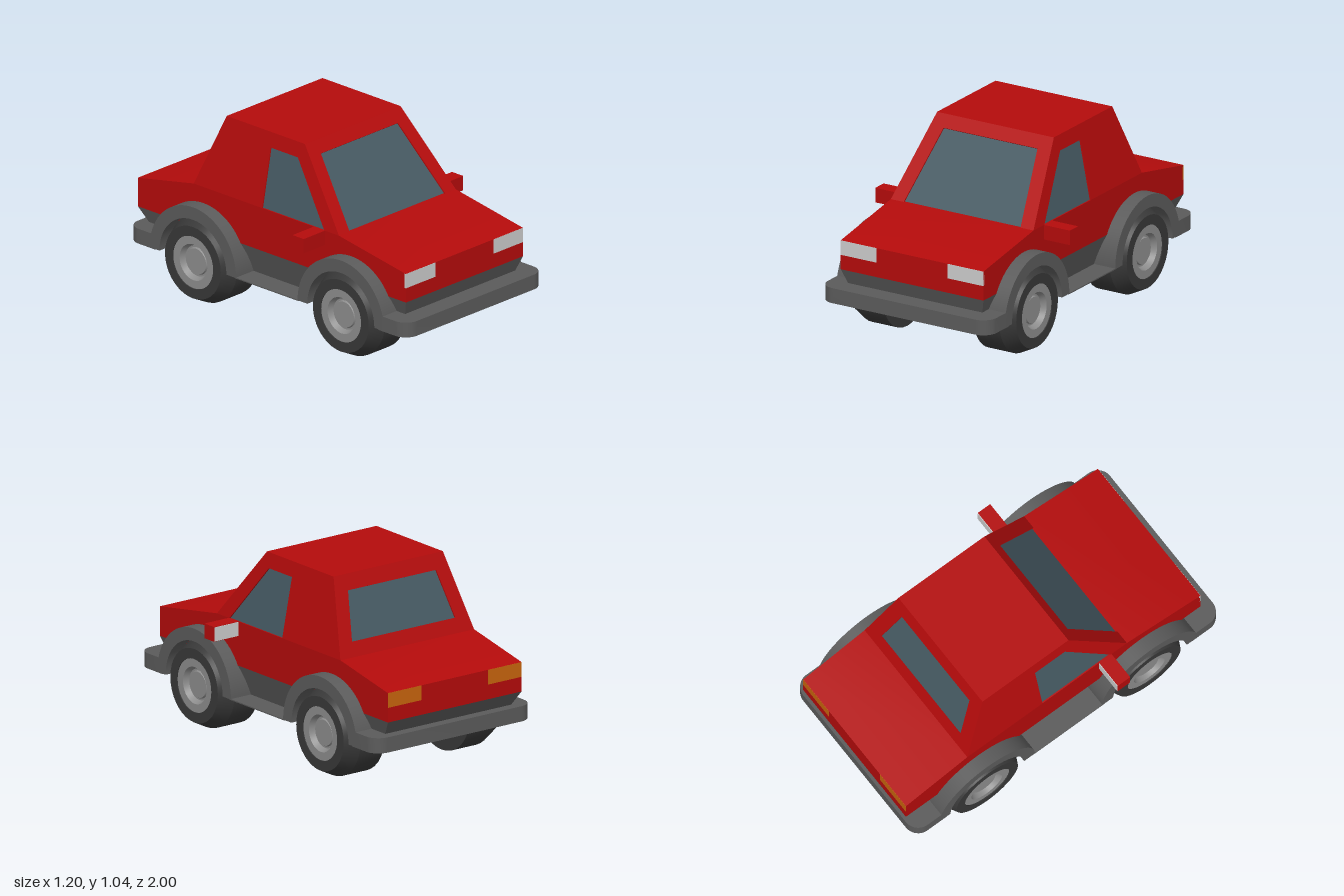
import * as THREE from 'three';
import { toCreasedNormals } from 'three/addons/utils/BufferGeometryUtils.js';

const mat = (color) => new THREE.MeshStandardMaterial({ color });

export function createModel() {
  const car = new THREE.Group();
  car.name = 'car';
  const red = mat(0xb40b0b), grey = mat(0x5b5b5b), dark = mat(0x383838), rim = mat(0x8c8c8c);
  const glass = mat(0x465a63), lamp = mat(0xcccccc), amber = mat(0xc8640d);

  const add = (name, geometry, material, parent = car) => {
    const mesh = new THREE.Mesh(geometry, material);
    mesh.name = name;
    parent.add(mesh);
    return mesh;
  };
  const box = (name, w, h, d, x, y, z, material) =>
    add(name, new THREE.BoxGeometry(w, h, d), material).position.set(x, y, z);

  // Flat geometry from four-cornered faces, counter-clockwise from outside
  const quads = (faces) => {
    const points = faces.flatMap(([a, b, c, d]) => [a, b, c, a, c, d]);
    const g = new THREE.BufferGeometry().setFromPoints(points);
    g.computeVertexNormals();
    return g;
  };
  const V = (x, y, z) => new THREE.Vector3(x, y, z);

  // Side profile in (-z, y), extruded across x from x0 to x1
  const extrudeX = (shape, x0, x1) => {
    const g = new THREE.ExtrudeGeometry(shape, { depth: x1 - x0, bevelEnabled: false, curveSegments: 28 });
    g.translate(0, 0, x0).rotateY(Math.PI / 2);
    return toCreasedNormals(g, 0.5);
  };

  // Lower body with bonnet and boot
  const profile = [[0.92, 0.4], [0.92, 0.56], [0.44, 0.64], [-0.6, 0.64], [-1, 0.56], [-1, 0.4]];
  const bodyShape = new THREE.Shape(profile.map(([z, y]) => new THREE.Vector2(-z, y)));
  add('body', extrudeX(bodyShape, -0.44, 0.44), red);

  // Tapered skirt under the body
  const ring = (x, y, front, back) => [V(x, y, front), V(x, y, back), V(-x, y, back), V(-x, y, front)];
  const top = ring(0.44, 0.4, 0.92, -1), low = ring(0.388, 0.24, 0.86, -0.89);
  add('skirt', quads(top.map((p, i) => [low[i], low[(i + 1) % 4], top[(i + 1) % 4], p])), grey);

  // Cabin panel with a slightly recessed window
  const panel = (name, outer, hole) => {
    const normal = outer[1].clone().sub(outer[0]).cross(outer[2].clone().sub(outer[0])).normalize();
    const inner = hole.map((p) => p.clone().addScaledVector(normal, -0.007));
    const faces = [];
    for (let i = 0; i < 4; i++) {
      const j = (i + 1) % 4;
      faces.push([outer[i], outer[j], hole[j], hole[i]], [hole[i], hole[j], inner[j], inner[i]]);
    }
    add(name + 'Frame', quads(faces), red);
    add(name + 'Glass', quads([inner]), glass);
  };
  // Points on the sloping cabin walls, by height
  const wallX = (y) => 0.44 - 0.2 * (y - 0.64);
  const frontZ = (y) => 0.44 - 0.8 * (y - 0.64);
  const backZ = (y) => -0.6 + 0.4 * (y - 0.64);
  const across = (z, x0, y0, x1, y1) =>
    [V(-x0, y0, z(y0)), V(x0, y0, z(y0)), V(x1, y1, z(y1)), V(-x1, y1, z(y1))];
  const flip = (pts) => pts.map((p) => V(-p.x, p.y, p.z)).reverse();

  panel('windscreen', across(frontZ, 0.44, 0.64, 0.36, 1.04), across(frontZ, 0.36, 0.64, 0.29, 0.98));
  panel('rearWindow', across(backZ, 0.44, 0.64, 0.36, 1.04).reverse(),
    across(backZ, 0.34, 0.715, 0.29, 0.96).reverse());
  const sidePoint = (y, z) => V(wallX(y), y, z);
  const wall = [sidePoint(0.64, 0.44), sidePoint(0.64, -0.6), sidePoint(1.04, -0.44), sidePoint(1.04, 0.12)];
  const opening = [sidePoint(0.64, 0.335), sidePoint(0.64, -0.11), sidePoint(0.96, -0.11), sidePoint(0.96, 0.085)];
  panel('leftWindow', wall, opening);
  panel('rightWindow', flip(wall), flip(opening));
  add('roof', quads([[V(-0.36, 1.04, 0.12), V(0.36, 1.04, 0.12), V(0.36, 1.04, -0.44), V(-0.36, 1.04, -0.44)]]), red);

  // Bumpers with rounded outer corners
  const bumper = new THREE.Shape();
  bumper.moveTo(-0.52, 0.8).lineTo(0.52, 0.8).lineTo(0.52, 0.92);
  bumper.absarc(0.44, 0.92, 0.08, 0, Math.PI / 2);
  bumper.absarc(-0.44, 0.92, 0.08, Math.PI / 2, Math.PI);
  const bumperGeometry = toCreasedNormals(
    new THREE.ExtrudeGeometry(bumper, { depth: 0.083, bevelEnabled: false, curveSegments: 8 })
      .rotateX(Math.PI / 2).translate(0, 0.32, 0), 0.5);
  add('frontBumper', bumperGeometry, grey);
  add('rearBumper', bumperGeometry, grey).rotation.y = Math.PI;

  // Floor and the thin sill ledge between the wheels
  box('floor', 0.76, 0.006, 1.64, 0, 0.24, 0, grey);
  box('sill', 1.04, 0.006, 0.46, 0, 0.24, 0, grey);

  // Wheel arches
  const arch = new THREE.Shape();
  arch.absarc(0, 0.24, 0.31, 0, Math.PI);
  arch.absarc(0, 0.24, 0.24, Math.PI, 0, true);
  const archGeometry = extrudeX(arch, 0.36, 0.52);

  // Wheel pieces turned about the axle, as [radius, distance from centre line]
  const turn = (pts) => toCreasedNormals(
    new THREE.LatheGeometry(pts.map(([r, x]) => new THREE.Vector2(r, x)), 36).toNonIndexed()
      .rotateZ(-Math.PI / 2), 0.4);
  const tyre = turn([[0, 0.28], [0.24, 0.28], [0.24, 0.44], [0.2, 0.52], [0.145, 0.52], [0.145, 0.49]]);
  const hub = turn([[0.145, 0.515], [0.1, 0.515], [0.085, 0.485], [0.075, 0.485], [0.07, 0.495], [0, 0.495]]);

  for (const side of [1, -1]) {
    const label = side > 0 ? 'left' : 'right';
    for (const z of [0.53, -0.53]) {
      const wheel = new THREE.Group();
      wheel.name = label + (z > 0 ? 'Front' : 'Rear') + 'Wheel';
      wheel.position.z = z;
      wheel.rotation.y = side > 0 ? 0 : Math.PI;
      add('arch', archGeometry, grey, wheel);
      add('tyre', tyre, dark, wheel).position.y = 0.24;
      add('hub', hub, rim, wheel).position.y = 0.24;
      car.add(wheel);
    }
    // Lamps and door mirror
    box(label + 'Headlight', 0.22, 0.08, 0.01, side * 0.33, 0.52, 0.916, lamp);
    box(label + 'TailLight', 0.22, 0.08, 0.01, side * 0.33, 0.52, -0.996, amber);
    box(label + 'Mirror', 0.18, 0.08, 0.08, side * 0.51, 0.6, 0.3, red);
    box(label + 'MirrorGlass', 0.155, 0.075, 0.006, side * 0.52, 0.6, 0.259, lamp);
  }
  return car;
}
